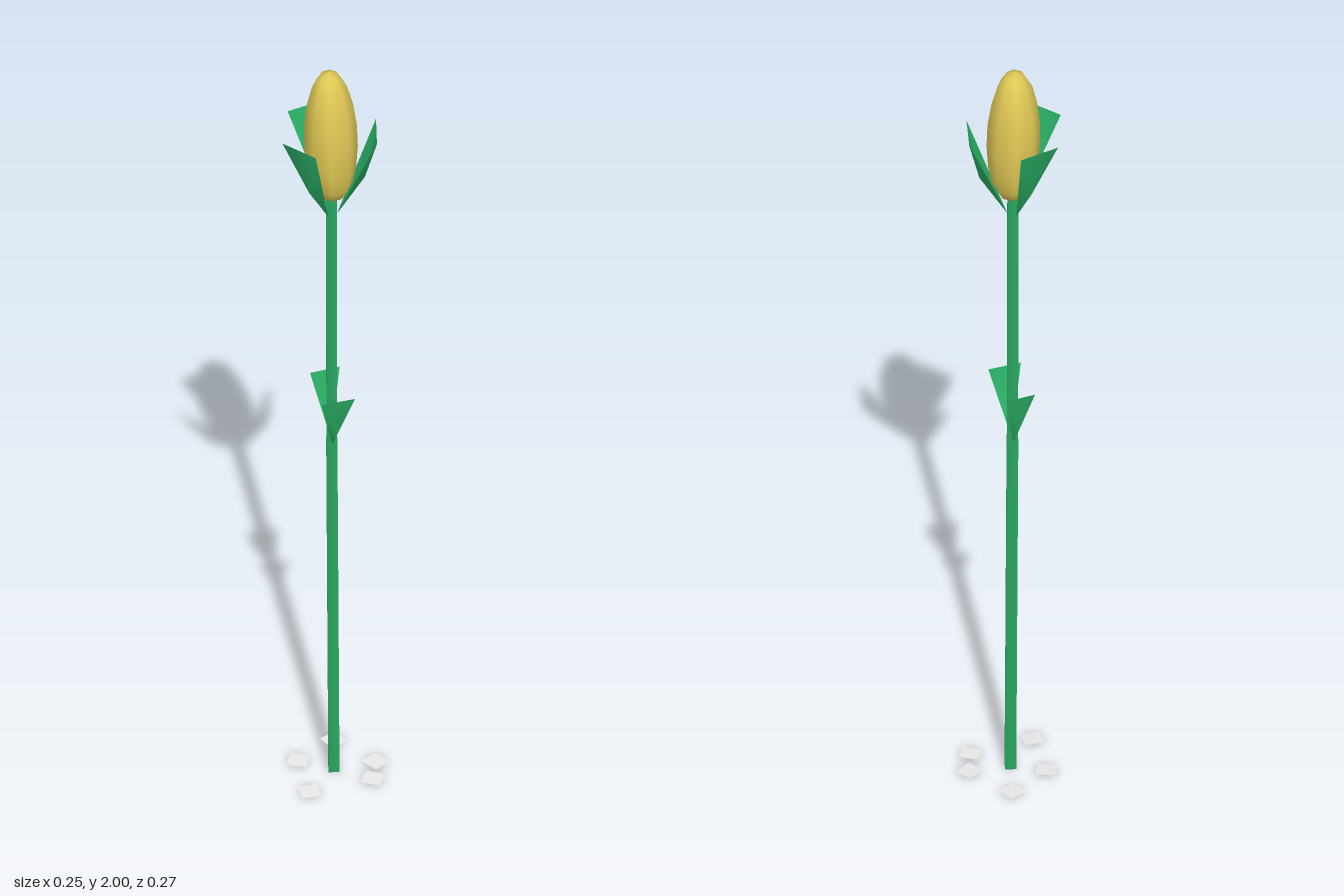
import * as THREE from 'three';
import { mergeVertices } from 'three/addons/utils/BufferGeometryUtils.js';

function flatColour(name, color, side) {
  const material = new THREE.MeshStandardMaterial({ color, side });
  material.name = name;
  return material;
}
const green = flatColour('leafGreen', 0x2bb066, THREE.DoubleSide);
const yellow = flatColour('cobYellow', 0xe2ca56, THREE.DoubleSide);
const grey = flatColour('chipGrey', 0xe8e8e8, THREE.DoubleSide);

function add(group, name, geometry, material) {
  const mesh = new THREE.Mesh(geometry, material);
  mesh.name = name;
  group.add(mesh);
  return mesh;
}

// Folded leaf: a base point, two top corners and an outward crease point
function leafGeometry(base, left, right, crease) {
  const g = new THREE.BufferGeometry();
  g.setAttribute('position', new THREE.Float32BufferAttribute([base, crease, left, right].flat(), 3));
  g.setIndex([0, 1, 2, 0, 3, 1, 1, 3, 2]);
  g.computeVertexNormals();
  return g;
}

// Square stem section between two points
function stemSection(group, name, from, to, width) {
  const a = new THREE.Vector3(...from), b = new THREE.Vector3(...to);
  const dir = b.clone().sub(a);
  const bar = new THREE.CylinderGeometry(width / Math.SQRT2, width / Math.SQRT2, dir.length(), 4).rotateY(Math.PI / 4);
  const mesh = add(group, name, bar, green);
  mesh.position.copy(a).add(b).multiplyScalar(0.5);
  mesh.quaternion.setFromUnitVectors(new THREE.Vector3(0, 1, 0), dir.normalize());
}

// Eight-sided cob, deeper than wide and tilted a little, smooth with no seam
function cobGeometry() {
  const profile = [[0, 1.645], [0.032, 1.655], [0.049, 1.685], [0.058, 1.73], [0.063, 1.79], [0.062, 1.85],
    [0.054, 1.91], [0.041, 1.96], [0.023, 1.99], [0, 2]].map(([r, y]) => new THREE.Vector2(r, y));
  const lathe = new THREE.LatheGeometry(profile, 8);
  lathe.deleteAttribute('normal');
  lathe.deleteAttribute('uv');
  const g = mergeVertices(lathe, 1e-5);
  const pos = g.attributes.position;
  for (let i = 0; i < pos.count; i++) {
    pos.setX(i, pos.getX(i) - 0.012 - (pos.getY(i) - 1.8) * 0.02);
    pos.setZ(i, pos.getZ(i) * 1.14 + 0.007);
  }
  g.computeVertexNormals();
  return g;
}

export function createModel() {
  const model = new THREE.Group();
  model.name = 'cornPlant';

  // Stem in two sections, leaning slightly
  stemSection(model, 'lowerStem', [-0.005, 0.003, 0.007], [-0.01, 0.95, 0.008], 0.026);
  stemSection(model, 'upperStem', [-0.01, 0.95, 0.008], [-0.011, 1.67, 0.007], 0.025);

  add(model, 'cob', cobGeometry(), yellow);

  // Leaves: heights of base, crease and top, then (x, z) of both corners, crease and base
  const leaves = [
    ['huskLeafLeft', 1.595, 1.70, 1.83, [0.095, 0.06], [0.095, -0.045], [0.068, 0.007], [0.002, 0.007]],
    ['huskLeafBack', 1.595, 1.70, 1.835, [-0.022, -0.118], [-0.112, -0.072], [-0.05, -0.068], [-0.018, -0.006]],
    ['huskLeafFront', 1.595, 1.70, 1.835, [-0.127, 0.06], [-0.05, 0.122], [-0.065, 0.07], [-0.019, 0.018]],
    ['stemLeafFront', 0.94, 1.0, 1.105, [-0.035, 0.09], [0.043, 0.067], [0.0, 0.064], [-0.009, 0.017]],
    ['stemLeafBack', 0.94, 1.0, 1.105, [0.01, -0.067], [-0.06, -0.042], [-0.022, -0.038], [-0.011, -0.002]],
  ];
  for (const [name, y0, y1, y2, l, r, c, b] of leaves) {
    const geometry = leafGeometry([b[0], y0, b[1]], [l[0], y2, l[1]], [r[0], y2, r[1]], [c[0], y1, c[1]]);
    add(model, name, geometry, green);
  }

  // Flat chips lying around the foot, barely tilted: x, z, turn
  const chips = [[-0.088, -0.022, -0.2], [-0.003, -0.103, 0.65], [0.093, -0.014, 0.8],
    [0.085, 0.056, -0.3], [-0.064, 0.106, 0.22]];
  for (const [x, z, turn] of chips) {
    const chip = new THREE.PlaneGeometry(0.047, 0.047).rotateX(-Math.PI / 2 + 0.05).rotateY(turn);
    add(model, 'groundChip', chip, grey).position.set(x, 0.01, z);
  }
  return model;
}
